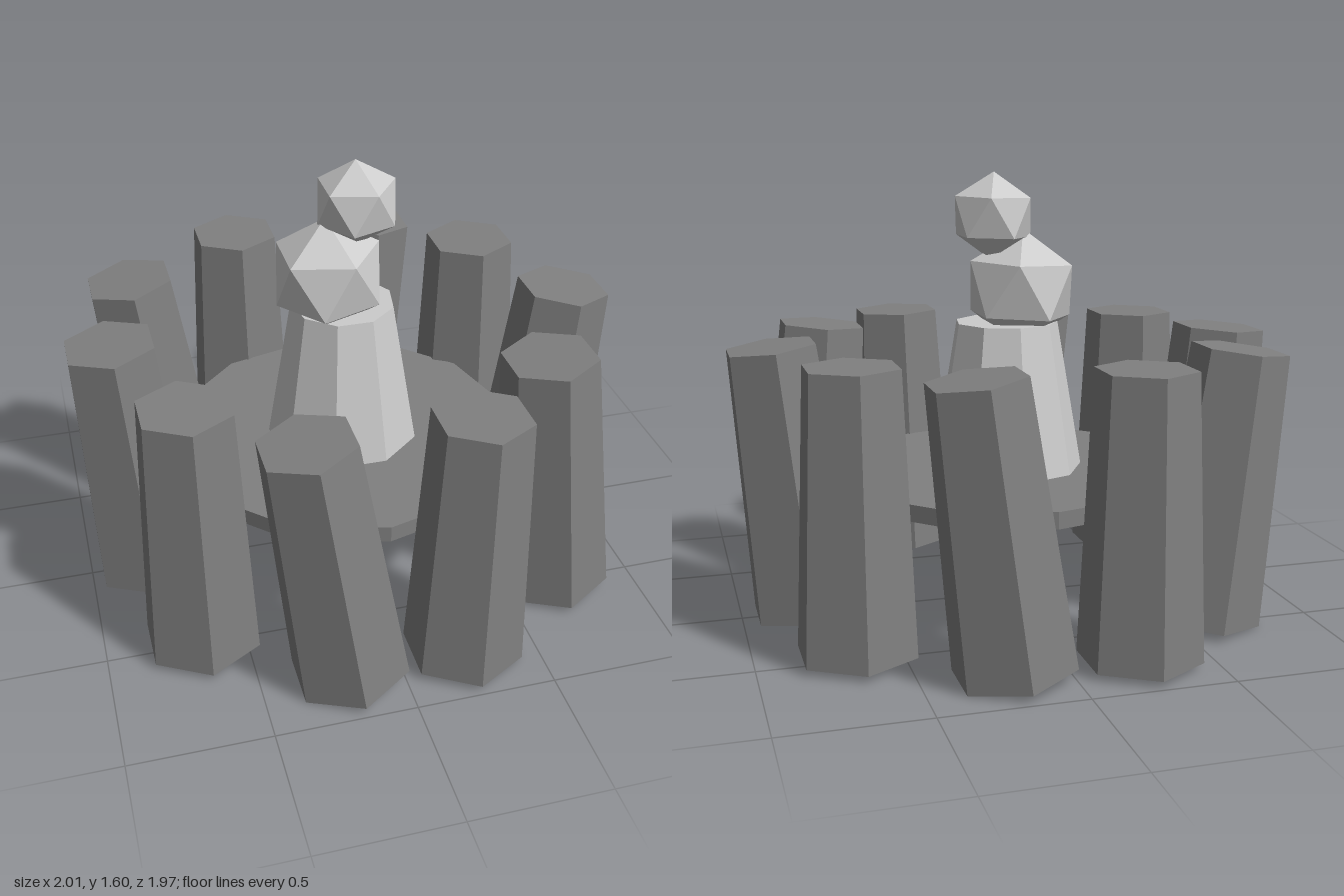
import * as THREE from 'three';

export function createModel() {
  const model = new THREE.Group();
  const stone = new THREE.MeshStandardMaterial({ color: 0x808080, flatShading: true });
  stone.name = 'grey stone';
  const smoke = new THREE.MeshStandardMaterial({ color: 0xcccccc, flatShading: true });
  smoke.name = 'pale smoke';

  const add = (name, geometry, material, x, y, z, tilt = 0) => {
    const mesh = new THREE.Mesh(geometry, material);
    mesh.name = name;
    mesh.position.set(x, y, z);
    mesh.rotation.z = tilt;
    model.add(mesh);
    return mesh;
  };

  // Ring of ten tapered hexagonal columns, each leaning sideways a little
  const columnGeometry = new THREE.CylinderGeometry(0.173, 0.216, 0.98, 6);
  const tilts = [-0.11, 0.08, -0.027, 0.145, 0.01, 0.08, 0.13, 0.005, -0.127, 0];
  tilts.forEach((tilt, i) => {
    const a = (i / tilts.length) * Math.PI * 2;
    add('column' + (i + 1), columnGeometry, stone,
      0.81 * Math.cos(a), 0.517, 0.81 * Math.sin(a), tilt);
  });

  // Floor slab held between the columns
  add('floorSlab', new THREE.CylinderGeometry(0.65, 0.65, 0.06, 12), stone, 0, 0.485, 0);

  // Smoke plume: tapered stem with two faceted puffs
  const stem = add('plumeStem', new THREE.CylinderGeometry(0.19, 0.283, 0.55, 9), smoke, 0, 0.785, 0);
  stem.rotation.y = Math.PI;
  add('lowerPuff', new THREE.IcosahedronGeometry(0.217, 0), smoke, -0.055, 1.18, 0, -0.51);
  add('upperPuff', new THREE.IcosahedronGeometry(0.16, 0), smoke, 0.05, 1.445, 0, -0.53);

  return model;
}
